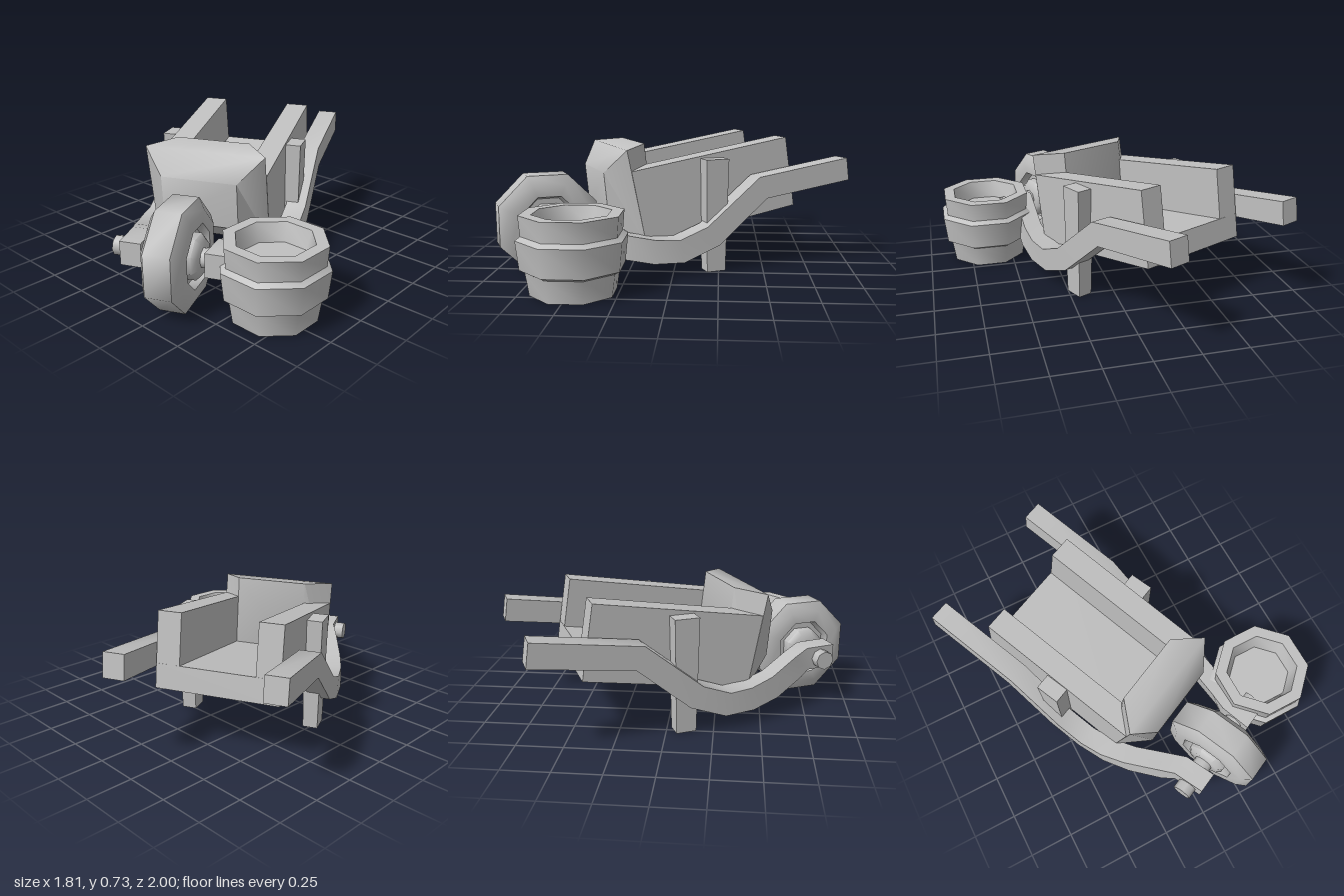
import * as THREE from 'three';
import { toCreasedNormals } from 'three/addons/utils/BufferGeometryUtils.js';

const stone = new THREE.MeshStandardMaterial({ color: 0xc0c0c0 });
stone.name = 'pale grey';

const CREASE = 0.82;
const OCT = 1 / Math.cos(Math.PI / 8); // flat-to-corner ratio of an octagon

function part(name, geometry, parent) {
  const mesh = new THREE.Mesh(toCreasedNormals(geometry, CREASE), stone);
  mesh.name = name;
  parent.add(mesh);
  return mesh;
}

// Closed solid through equal-length loops (counter-clockwise seen from the last loop)
function loft(loops) {
  const n = loops[0].length, last = (loops.length - 1) * n, index = [];
  for (let i = 0; i < loops.length - 1; i++) {
    for (let j = 0; j < n; j++) {
      const k = (j + 1) % n, a = i * n, b = a + n;
      index.push(a + j, a + k, b + k, a + j, b + k, b + j);
    }
  }
  for (let j = 1; j < n - 1; j++) {
    index.push(0, j + 1, j, last, last + j, last + j + 1);
  }
  const g = new THREE.BufferGeometry();
  g.setAttribute('position', new THREE.Float32BufferAttribute(loops.flat(2), 3));
  g.setIndex(index);
  return g;
}

// Four-cornered section: x range, then bottom and top as [y, z]
const quad = (x0, x1, [yb, zb], [yt, zt]) =>
  [[x0, yb, zb], [x1, yb, zb], [x1, yt, zt], [x0, yt, zt]];

// Eight-sided turned solid from [flat radius, height] pairs
function octagonLathe(profile) {
  const points = profile.map(([r, y]) => new THREE.Vector2(r * OCT, y));
  return new THREE.LatheGeometry(points, 8, Math.PI / 8);
}

function buildTray(parent) {
  const tray = new THREE.Group();
  tray.name = 'tray';
  parent.add(tray);
  part('trayFloor', loft([
    quad(-0.335, 0.335, [0.33, -0.65], [0.46, -0.63]),
    quad(-0.335, 0.335, [0.17, 0.265], [0.30, 0.29]),
  ]), tray);
  for (const [name, x0, x1] of [['leftWall', 0.205, 0.335], ['rightWall', -0.335, -0.205]]) {
    part(name, loft([
      quad(x0, x1, [0.33, -0.65], [0.73, -0.585]),
      quad(x0, x1, [0.17, 0.265], [0.575, 0.345]),
    ]), tray);
  }
  // Flared front board with a raised middle
  part('frontBoard', loft([
    quad(-0.205, 0.205, [0.28, 0.18], [0.71, 0.23]),
    quad(-0.335, 0.335, [0.17, 0.265], [0.69, 0.37]),
    quad(-0.21, 0.21, [0.30, 0.44], [0.56, 0.465]),
  ]), tray);
}

function buildArm(side) {
  // Path as [x, y, z] from the grip to the axle
  const path = [
    [0.405, 0.545, -0.93], [0.405, 0.465, -0.38], [0.405, 0.215, -0.08],
    [0.4, 0.145, 0.1], [0.385, 0.15, 0.25], [0.345, 0.18, 0.4],
    [0.275, 0.25, 0.58], [0.235, 0.275, 0.66], [0.225, 0.275, 0.83],
  ];
  return loft(path.map(([x, y, z], i) => {
    const p = path[Math.max(i - 1, 0)], q = path[Math.min(i + 1, path.length - 1)];
    const dy = q[1] - p[1], dz = q[2] - p[2], len = Math.hypot(dy, dz);
    const uy = 0.065 * dz / len, uz = -0.065 * dy / len;
    return quad(side * x - 0.058, side * x + 0.058, [y - uy, z - uz], [y + uy, z + uz]);
  }));
}

function buildWheel(parent) {
  const wheel = new THREE.Group();
  wheel.name = 'frontWheel';
  wheel.position.set(0, 0.272, 0.743);
  wheel.rotation.z = Math.PI / 2;
  parent.add(wheel);
  part('tyre', octagonLathe([
    [0, -0.06], [0.14, -0.06], [0.155, -0.105], [0.215, -0.105], [0.27, -0.07],
    [0.27, 0.07], [0.215, 0.105], [0.155, 0.105], [0.14, 0.06], [0, 0.06],
  ]), wheel);
  part('hub', octagonLathe([
    [0, -0.13], [0.085, -0.13], [0.11, -0.105], [0.11, 0.105], [0.085, 0.13], [0, 0.13],
  ]), wheel);
  part('axle', new THREE.CylinderGeometry(0.053, 0.053, 0.69, 8), wheel);
}

function buildBucket(parent) {
  const bucket = part('bucket', octagonLathe([
    [0, 0], [0.208, 0], [0.225, 0.12], [0.25, 0.135], [0.265, 0.285],
    [0.24, 0.305], [0.248, 0.41], [0.188, 0.41], [0.16, 0.31], [0, 0.31],
  ]), parent);
  bucket.position.set(0.638, 0, 0.48);
}

export function createModel() {
  const model = new THREE.Group();
  model.name = 'wheelbarrowWithBucket';

  const barrow = new THREE.Group();
  barrow.name = 'wheelbarrow';
  barrow.rotation.y = 0.434;
  barrow.position.set(-0.095, 0, 0.044);
  model.add(barrow);

  buildTray(barrow);
  buildWheel(barrow);
  for (const side of [1, -1]) {
    const label = side > 0 ? 'left' : 'right';
    part(label + 'Arm', buildArm(side), barrow);
    // Tapered leg braced against the tray wall
    const post = new THREE.CylinderGeometry(0.095, 0.078, 0.63, 4).rotateY(Math.PI / 4);
    post.scale(0.75, 1, 1);
    part(label + 'Leg', post, barrow).position.set(side * 0.37, 0.315, -0.12);
  }

  buildBucket(model);
  return model;
}
